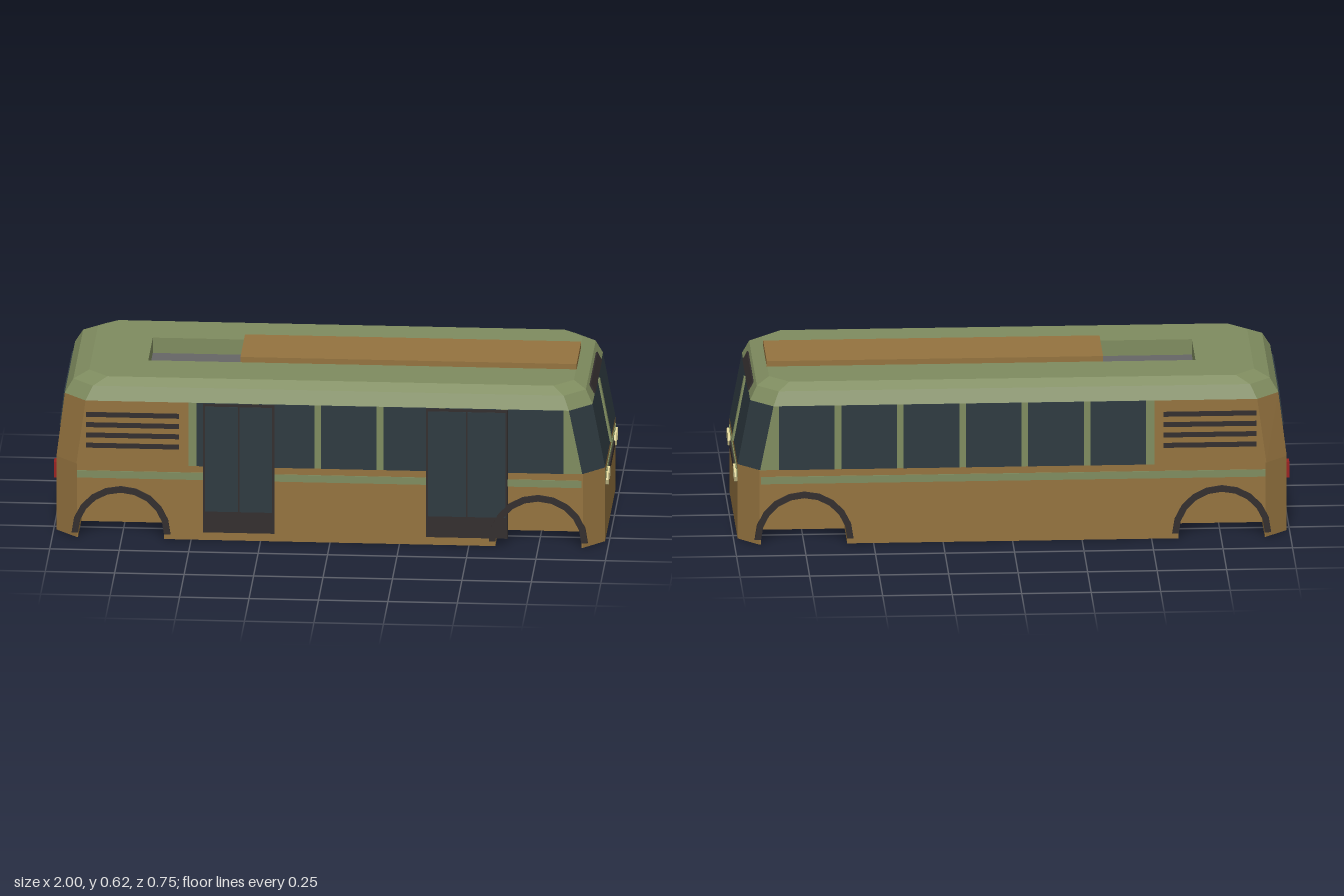
import * as THREE from 'three';

const mat = (color, side = THREE.FrontSide) =>
  new THREE.MeshStandardMaterial({ color, flatShading: true, side });
const BROWN = mat(0x94733f), OLIVE = mat(0x7f8c5f), GLASS = mat(0x2e3a40),
  DARK = mat(0x332e2e), LAMP = mat(0xdcd296), RED = mat(0x9a2020), GREY = mat(0x666666);

const W = 0.365;          // half width of the body
const WELL = 0.18;        // depth of a wheel well
const ARCH_X = [-0.752, 0.75], ARCH_Y = 0.02, ARCH_R = 0.155, SEG = 10;

export function createModel() {
  const bus = new THREE.Group();
  bus.name = 'bus';

  const add = (name, geometry, material, x = 0, y = 0, z = 0) => {
    const mesh = new THREE.Mesh(geometry, material);
    mesh.name = name;
    mesh.position.set(x, y, z);
    bus.add(mesh);
    return mesh;
  };
  // Box given by its limits on each axis
  const box = (name, material, x0, x1, y0, y1, z0, z1) =>
    add(name, new THREE.BoxGeometry(x1 - x0, y1 - y0, z1 - z0), material,
      (x0 + x1) / 2, (y0 + y1) / 2, (z0 + z1) / 2);
  // Thin panel on one side wall, s = +1 or -1
  const sidePanel = (name, material, s, x0, x1, y0, y1, out) =>
    box(name, material, x0, x1, y0, y1, s > 0 ? W - 0.01 : -W - out, s > 0 ? W + out : 0.01 - W);
  const extrude = (shape, depth) =>
    new THREE.ExtrudeGeometry(shape, { depth, bevelEnabled: false });
  const shapeOf = pts => new THREE.Shape(pts.map(p => new THREE.Vector2(p[0], p[1])));
  const plan = (pts, depth) => extrude(shapeOf(pts), depth).rotateX(-Math.PI / 2);
  const arc = (cx, r, k) => {
    const a = Math.PI * (1 - k / SEG);
    return [cx + r * Math.cos(a), ARCH_Y + r * Math.sin(a)];
  };

  // Lower body: two side slabs notched by the wheel arches
  const skirt = [[-0.91, 0]];
  for (const cx of ARCH_X) {
    skirt.push([cx - ARCH_R, 0]);
    for (let k = 0; k <= SEG; k++) skirt.push(arc(cx, ARCH_R, k));
    skirt.push([cx + ARCH_R, 0]);
  }
  skirt.push([0.91, 0], [0.91, 0.28], [-0.91, 0.28]);
  for (const s of [1, -1])
    add('sideSkirt', extrude(shapeOf(skirt), WELL), BROWN, 0, 0, s > 0 ? W - WELL : -W);
  box('underbody', BROWN, -0.91, 0.91, 0, 0.28, WELL - W, W - WELL);
  add('lowerNose', plan([[0.91, -W], [0.985, -0.285], [0.985, 0.285], [0.91, W]], 0.28), BROWN);
  add('lowerTail', plan([[-0.91, W], [-0.99, 0.285], [-0.99, -0.285], [-0.91, -W]], 0.28), BROWN);

  // Upper body: chamfered rings, joined by bands
  const ring = (y, xr, xf, w, cut, cz) => [
    [xf, w - cz], [xf, cz - w], [xf - cut, -w], [-0.51, -w], [xr + cut, -w],
    [xr, cz - w], [xr, w - cz], [xr + cut, w], [-0.51, w], [xf - cut, w],
  ].map(([x, z]) => [x, y, z]);
  const band = (name, material, a, b, edges) => {
    const pos = [];
    for (const i of edges) {
      const j = (i + 1) % a.length;
      pos.push(...a[i], ...a[j], ...b[j], ...a[i], ...b[j], ...b[i]);
    }
    const g = new THREE.BufferGeometry();
    g.setAttribute('position', new THREE.Float32BufferAttribute(pos, 3));
    g.computeVertexNormals();
    add(name, g, material);
  };
  const belt = ring(0.28, -0.99, 0.985, W, 0.077, 0.08);
  const eave = ring(0.52, -0.96, 0.94, W, 0.08, 0.08);
  const shoulder = ring(0.57, -0.93, 0.915, 0.345, 0.075, 0.075);
  const crown = ring(0.595, -0.875, 0.87, 0.31, 0.07, 0.07);
  const all = [0, 1, 2, 3, 4, 5, 6, 7, 8, 9];
  band('windscreen', GLASS, belt, eave, [9, 0, 1]);
  band('windowWall', OLIVE, belt, eave, [2, 8]);
  band('engineCover', BROWN, belt, eave, [3, 4, 5, 6, 7]);
  band('roofEdge', OLIVE, eave, shoulder, all);
  band('roofSlope', OLIVE, shoulder, crown, all);

  // Roof top with a hatch, its floor and the long raised cover
  const roof = shapeOf(crown.map(([x, , z]) => [x, -z]));
  roof.holes.push(new THREE.Path([[-0.67, -0.125], [-0.67, 0.125], [-0.338, 0.125], [-0.338, -0.125]]
    .map(p => new THREE.Vector2(...p))));
  add('roofTop', extrude(roof, 0.06).rotateX(-Math.PI / 2), OLIVE, 0, 0.535, 0);
  box('hatchFloor', GREY, -0.69, -0.32, 0.525, 0.537, -0.14, 0.14);
  box('roofCover', BROWN, -0.338, 0.872, 0.58, 0.615, -0.125, 0.125);

  // Fittings on both sides
  for (const s of [1, -1]) {
    for (let i = 0; i < 6; i++) {
      const x = -0.48 + i * 0.224;
      sidePanel('sideWindow', GLASS, s, x, x + 0.2, 0.28, 0.52, 0.002);
    }
    for (let i = 0; i < 4; i++)
      sidePanel('sideVent', DARK, s, -0.878, -0.543, 0.342 + i * 0.039, 0.36 + i * 0.039, 0.003);
    sidePanel('beltStripe', OLIVE, s, -0.91, 0.905, 0.228, 0.255, 0.003);
    for (const cx of ARCH_X) {
      const rim = [];
      for (let k = 0; k <= SEG; k++) rim.push(arc(cx, 0.178, k));
      for (let k = SEG; k >= 0; k--) rim.push(arc(cx, ARCH_R, k));
      add('archTrim', extrude(shapeOf(rim), 0.013), DARK, 0, 0, s > 0 ? 0.36 : -0.373);
    }
  }

  // Double doors on the left side
  for (const [x0, x1] of [[-0.457, -0.2], [0.345, 0.64]]) {
    const mid = (x0 + x1) / 2;
    sidePanel('door', DARK, 1, x0, x1, 0.03, 0.518, 0.004);
    sidePanel('doorGlass', GLASS, 1, x0 + 0.008, mid - 0.003, 0.11, 0.508, 0.006);
    sidePanel('doorGlass', GLASS, 1, mid + 0.003, x1 - 0.008, 0.11, 0.508, 0.006);
  }

  // Nose: centre post, sign, panel, grille and headlights
  const post = box('windscreenPost', OLIVE, 0.956, 0.97, 0.28, 0.52, -0.012, 0.012);
  post.rotation.z = 0.1855;
  const sign = box('signPanel', DARK, 0.925, 0.936, 0.522, 0.559, -0.18, 0.18);
  sign.rotation.z = 0.46;
  box('nosePanel', OLIVE, 0.975, 0.988, 0.227, 0.256, -0.274, 0.274);
  box('noseGrille', DARK, 0.975, 0.993, 0.215, 0.24, -0.129, 0.129);
  for (const z of [-0.245, -0.186, 0.186, 0.245]) {
    const lamp = new THREE.CylinderGeometry(0.025, 0.025, 0.02, 8).rotateZ(-Math.PI / 2);
    add('headlight', lamp, LAMP, 0.986, 0.227, z);
  }

  // Tail: rear window, engine grille and tail lights
  const rear = box('rearWindow', GLASS, -0.975, -0.964, 0.375, 0.505, -0.22, 0.22);
  rear.rotation.z = -0.124;
  for (const y of [0.18, 0.213, 0.246])
    box('rearVent', DARK, -0.994, -0.98, y, y + 0.016, -0.18, 0.18);
  for (const z of [-0.26, 0.26])
    box('tailLight', RED, -1, -0.98, 0.195, 0.255, z - 0.02, z + 0.02);

  return bus;
}
